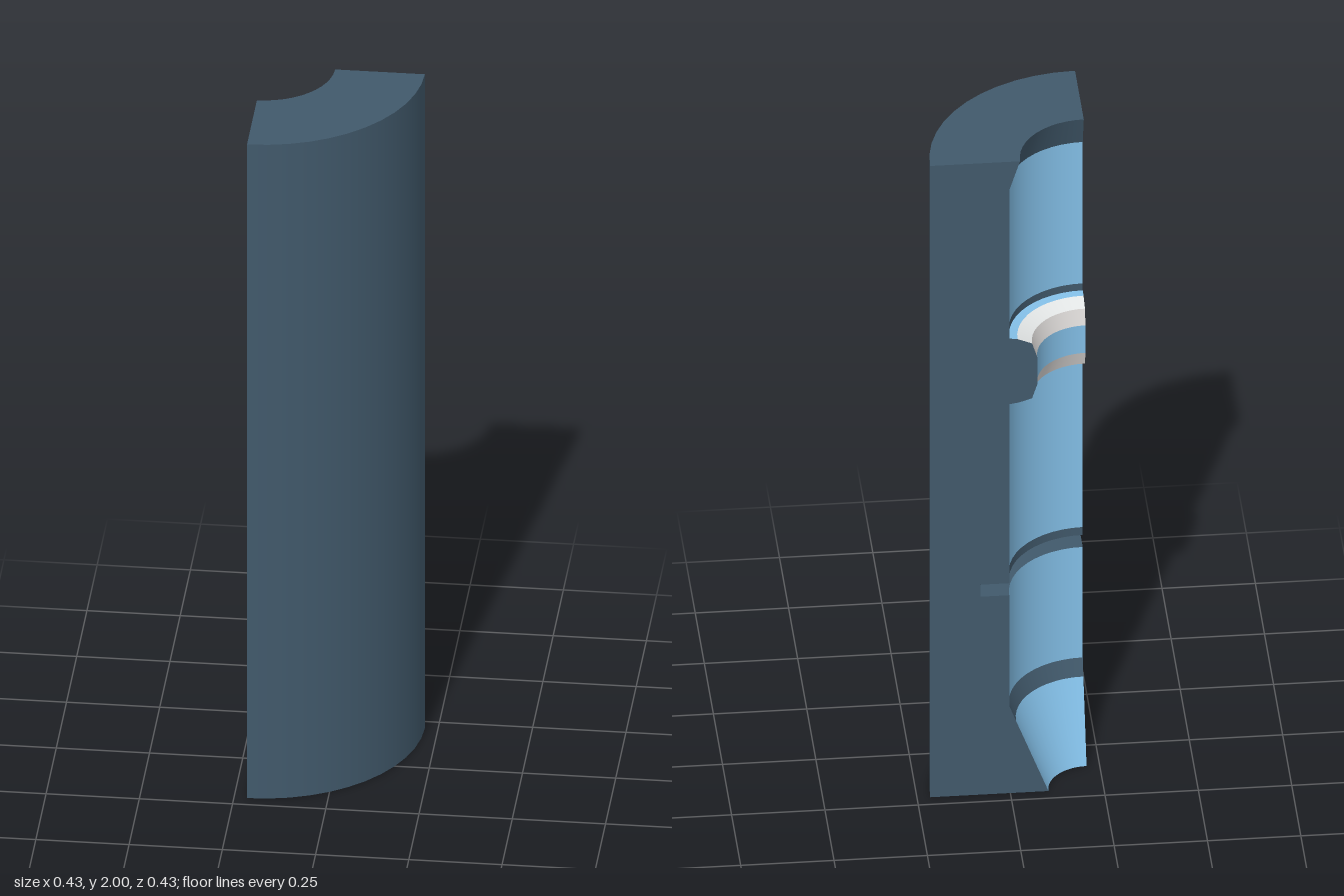
import * as THREE from 'three';

const flat = (name, color) => {
  const m = new THREE.MeshStandardMaterial({ color });
  m.name = name;
  return m;
};

export function createModel() {
  const slate = flat('slate', 0x41596b);
  const blue = flat('blue', 0x83bfe7);
  const white = flat('white', 0xe2e5e5);
  const grey = flat('warmGrey', 0xdbd8d6);
  const black = flat('black', 0x000000);

  const R = 0.43;      // outer radius
  const W = 0.218;     // bore radius
  const half = R / 2;

  const group = new THREE.Group();
  group.name = 'quarterSleeve';
  const add = (name, geometry, material) => {
    geometry.translate(-half, 0, -half);
    const mesh = new THREE.Mesh(geometry, material);
    mesh.name = name;
    group.add(mesh);
  };

  // Closed section, [radius, y]; each entry names the surface leading to the next point
  const section = [
    [R, 0, 'outerWall', slate],
    [R, 2, 'topFace', slate],
    [0.189, 2, 'mouthChamfer', slate],
    [W, 1.91, 'upperBore', blue],
    [W, 1.462, 'upperBoreRing', slate],
    [W, 1.44, 'shoulderTop', blue],
    [0.196, 1.437, 'shoulderUpper', white],
    [0.157, 1.421, 'neckUpperRim', grey],
    [0.143, 1.377, 'neck', blue],
    [0.143, 1.29, 'neckLowerRim', grey],
    [0.157, 1.247, 'shoulderLower', white],
    [0.192, 1.236, 'shoulderBottom', blue],
    [W, 1.232, 'middleBoreRing', slate],
    [W, 1.212, 'middleBore', blue],
    [W, 0.69, 'grooveLip', slate],
    [W, 0.665, 'grooveTop', slate],
    [0.295, 0.665, 'grooveBack', slate],
    [0.295, 0.627, 'grooveFloor', slate],
    [W, 0.627, 'lowerBore', blue],
    [W, 0.277, 'coneRing', slate],
    [0.2, 0.228, 'cone', blue],
    [0.113, 0, 'bottomFace', black],
  ];

  // Revolved surfaces, one quarter turn each, with sharp edges between them
  section.forEach(([r, y, name, material], i) => {
    const next = section[(i + 1) % section.length];
    const points = [new THREE.Vector2(r, y), new THREE.Vector2(next[0], next[1])];
    add(name, new THREE.LatheGeometry(points, 12, 0, Math.PI / 2), material);
  });

  // Two flat cut faces closing the quarter
  const cut = (sign) => new THREE.ShapeGeometry(
    new THREE.Shape(section.map(([r, y]) => new THREE.Vector2(sign * r, y))));
  add('sideCutFace', cut(1).rotateY(-Math.PI / 2), black);
  add('backCutFace', cut(-1).rotateY(Math.PI), slate);

  return group;
}
